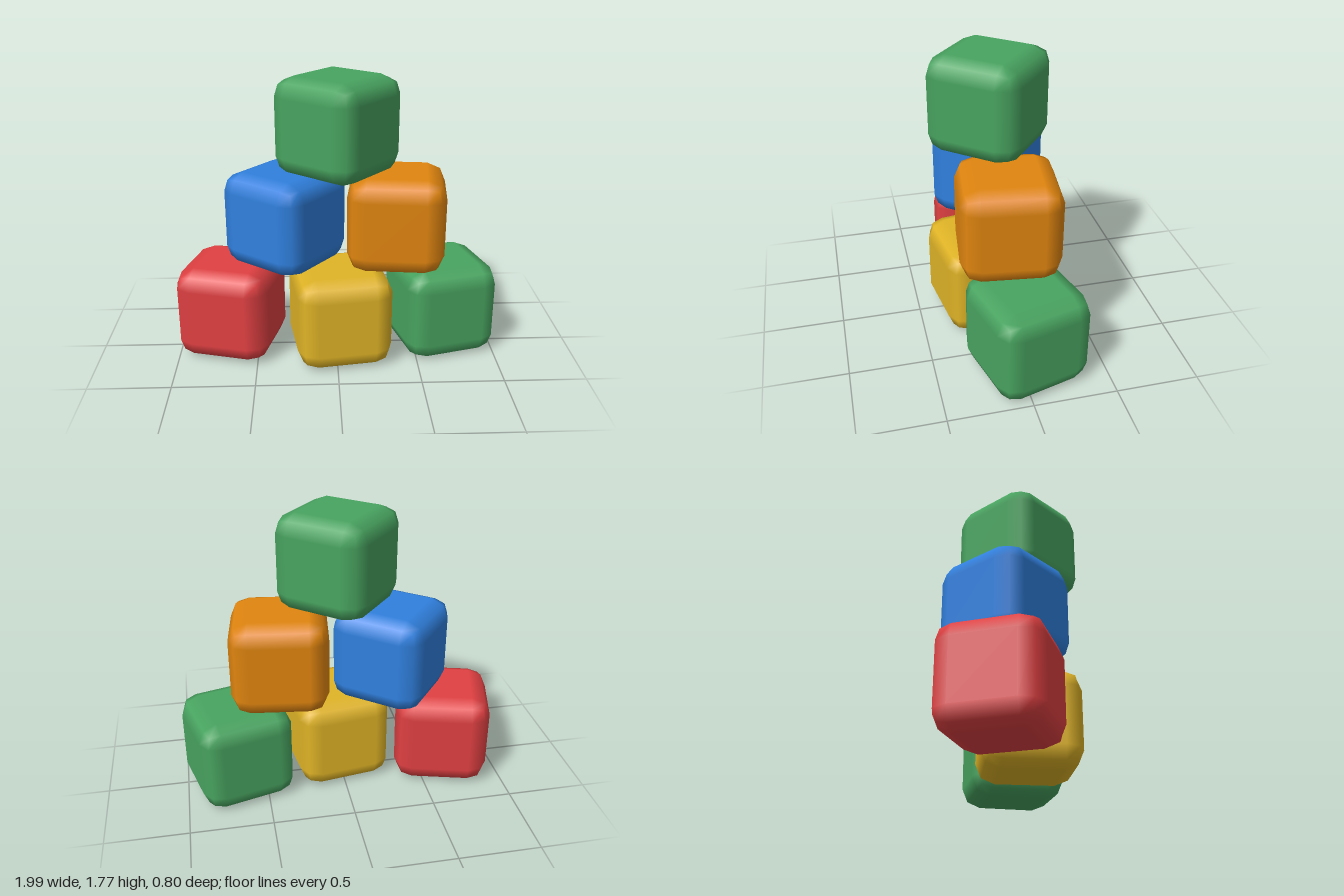
import * as THREE from 'three';

const CORE = 0.178;   // half size of the flat faces
const BEVEL = 0.117;  // radius of the rounded edges
const LAYER = 2 * (CORE + BEVEL);

// Cube with two-step rounded edges and smooth normals
function roundedCube() {
  const geo = new THREE.BoxGeometry(1, 1, 1, 3, 3, 3);
  const pos = geo.attributes.position, nor = geo.attributes.normal;
  const p = new THREE.Vector3(), dir = new THREE.Vector3();
  const outer = (c) => (Math.abs(c) > 0.4 ? Math.sign(c) : 0);
  for (let i = 0; i < pos.count; i++) {
    p.fromBufferAttribute(pos, i);
    dir.set(outer(p.x), outer(p.y), outer(p.z)).normalize();
    nor.setXYZ(i, dir.x, dir.y, dir.z);
    p.set(Math.sign(p.x), Math.sign(p.y), Math.sign(p.z)).multiplyScalar(CORE).addScaledVector(dir, BEVEL);
    pos.setXYZ(i, p.x, p.y, p.z);
  }
  return geo;
}

export function createModel() {
  const group = new THREE.Group();
  group.name = 'blockPyramid';

  const paint = (name, color) => {
    const m = new THREE.MeshStandardMaterial({ color });
    m.name = name;
    return m;
  };
  const red = paint('red', 0xe04042);
  const yellow = paint('yellow', 0xe0b426);
  const green = paint('green', 0x48a460);
  const blue = paint('blue', 0x3080de);
  const orange = paint('orange', 0xe0850f);

  // name, material, layer, x, z, turn in degrees
  const blocks = [
    ['bottomRightBlock', red, 0, -0.665, -0.038, -15],
    ['bottomMiddleBlock', yellow, 0, 0.02, 0.085, 8.5],
    ['bottomLeftBlock', green, 0, 0.667, -0.038, 15],
    ['middleRightBlock', blue, 1, -0.312, -0.035, -38.5],
    ['middleLeftBlock', orange, 1, 0.375, 0.005, -7],
    ['topBlock', green, 2, 0.008, 0.03, -40],
  ];

  const cube = roundedCube();
  for (const [name, material, layer, x, z, turn] of blocks) {
    const block = new THREE.Mesh(cube, material);
    block.name = name;
    block.position.set(x, (layer + 0.5) * LAYER, z);
    block.rotation.y = THREE.MathUtils.degToRad(turn);
    group.add(block);
  }
  return group;
}
